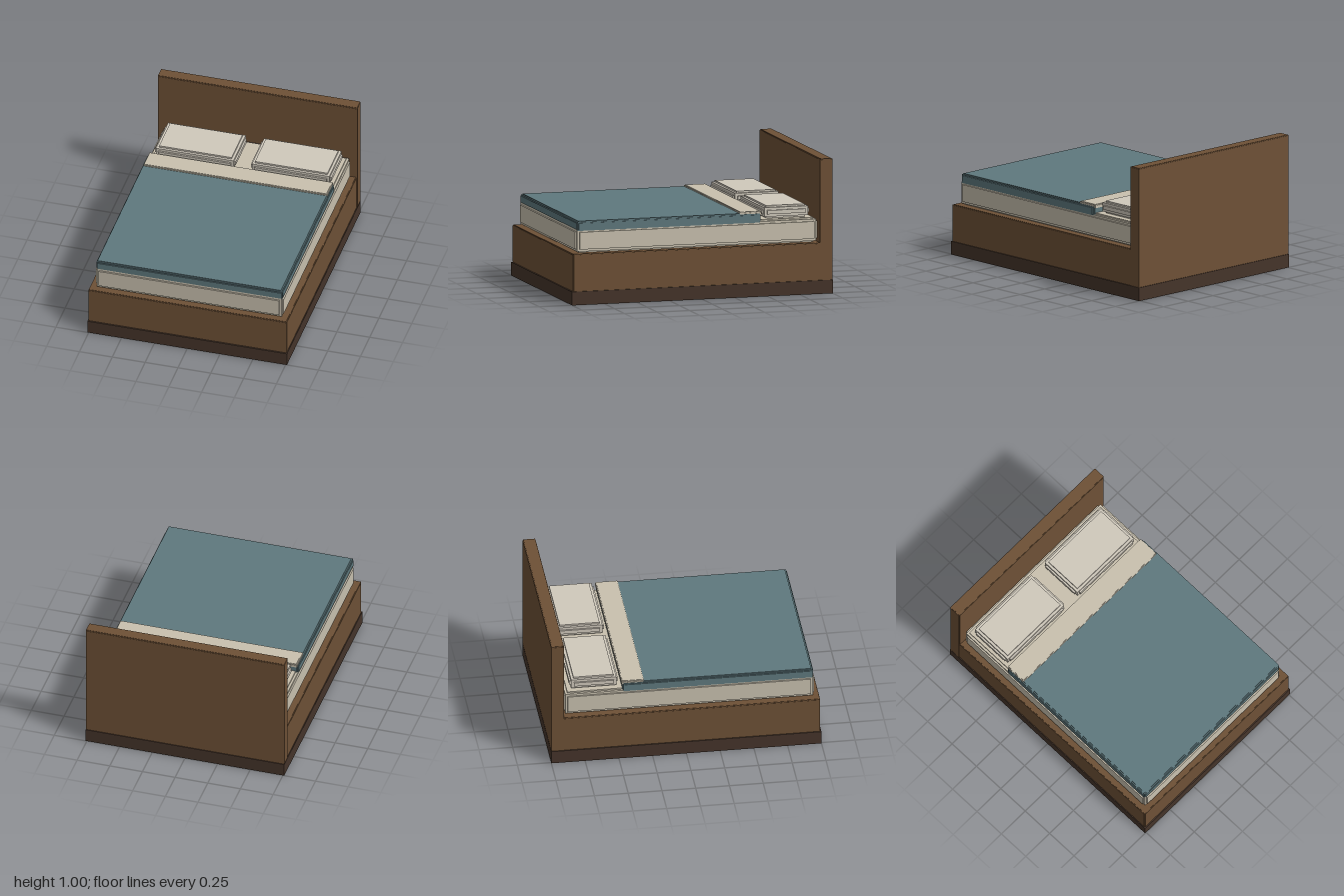
import * as THREE from 'three';

const mat = (color) => new THREE.MeshStandardMaterial({ color, flatShading: true });

// Box with stepped edges: a core plus one slab pushed out along each axis.
// Ranges are [min, max] per axis, r is the depth of the edge step.
function steppedBox(name, xr, yr, zr, r, material) {
  const group = new THREE.Group();
  group.name = name;
  const ranges = [xr, yr, zr];
  const centre = ranges.map(([a, b]) => (a + b) / 2);
  const size = ranges.map(([a, b]) => b - a);
  const insets = [
    [0, r, r],
    [r, 0, r],
    [r, r, 0],
    [r * 0.4, r * 0.4, r * 0.4],
  ];
  insets.forEach((inset, i) => {
    const dims = size.map((s, k) => s - 2 * inset[k]);
    const mesh = new THREE.Mesh(new THREE.BoxGeometry(...dims), material);
    mesh.position.set(...centre);
    mesh.name = name + ['Sides', 'TopAndBottom', 'Ends', 'Core'][i];
    group.add(mesh);
  });
  return group;
}

export function createModel() {
  const bed = new THREE.Group();
  bed.name = 'bed';

  const wood = mat(0x6e5136);
  const darkWood = mat(0x45342a);
  const sheet = mat(0xc9c1af);
  const pillowCloth = mat(0xd0c9bc);
  const blanketCloth = mat(0x5f797e);

  // Plinth
  const plinth = new THREE.Mesh(new THREE.BoxGeometry(1.52, 0.1, 2), darkWood);
  plinth.name = 'plinth';
  plinth.position.y = 0.05;
  bed.add(plinth);

  // Wooden base and headboard
  bed.add(steppedBox('base', [-0.755, 0.755], [0.098, 0.378], [-0.91, 0.992], 0.006, wood));
  bed.add(steppedBox('headboard', [-0.76, 0.76], [0.1, 1], [-1, -0.905], 0.006, wood));

  // Mattress, blanket and turned-down sheet
  bed.add(steppedBox('mattress', [-0.715, 0.715], [0.376, 0.56], [-0.9, 0.955], 0.028, sheet));
  bed.add(steppedBox('blanket', [-0.71, 0.71], [0.535, 0.613], [-0.465, 0.948], 0.015, blanketCloth));
  bed.add(steppedBox('sheetFold', [-0.7, 0.7], [0.593, 0.624], [-0.472, -0.305], 0.008, sheet));

  // Pair of pillows
  for (const [name, x] of [['leftPillow', 0.365], ['rightPillow', -0.365]]) {
    bed.add(steppedBox(name, [x - 0.308, x + 0.308], [0.562, 0.655], [-0.852, -0.492], 0.032, pillowCloth));
  }

  return bed;
}
